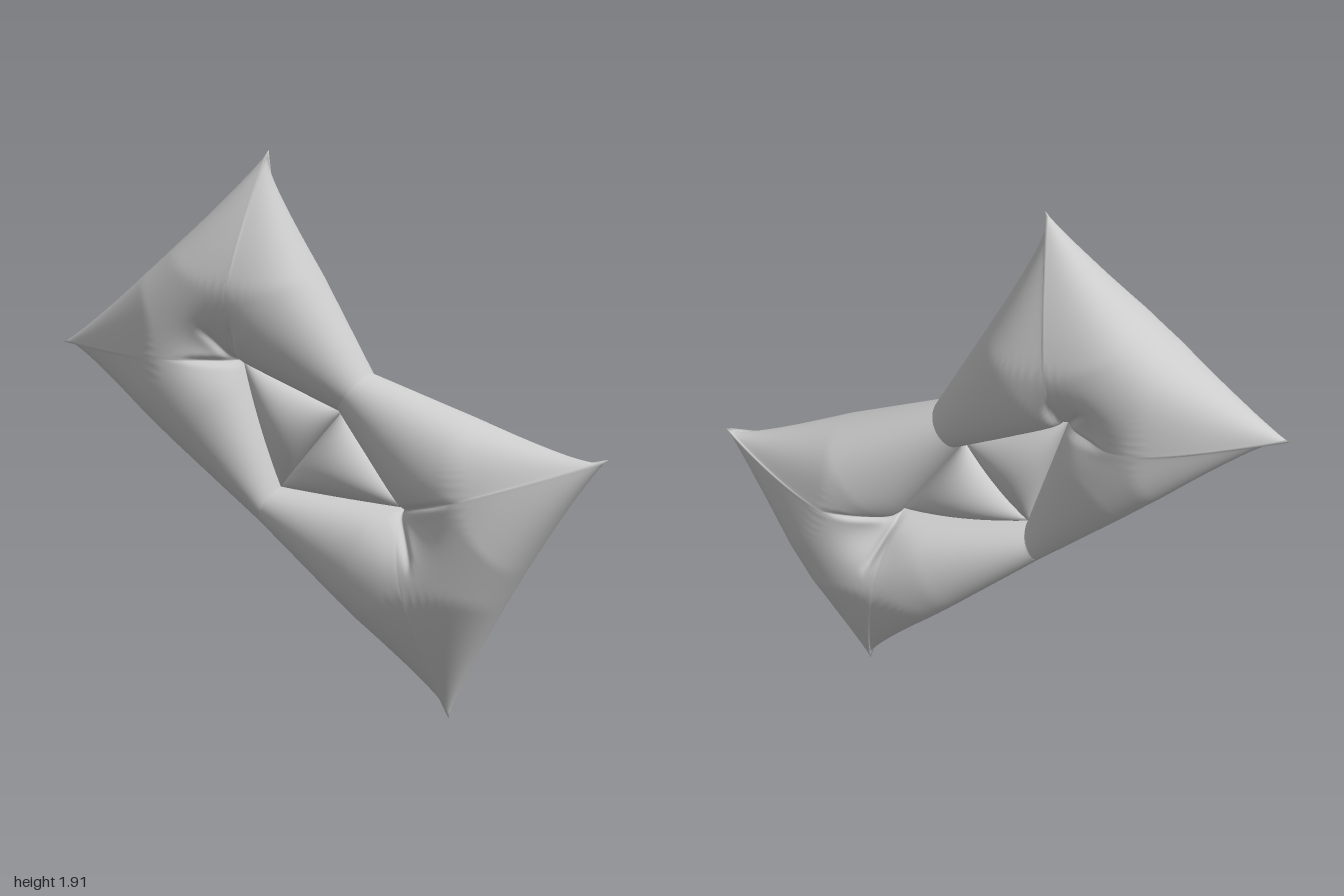
import * as THREE from 'three';
import { mergeVertices } from 'three/addons/utils/BufferGeometryUtils.js';

const V = (x, y) => new THREE.Vector2(x, y);

// Outline corners, with the waist at waistTop and waistBottom
const A = V(-1, 1.235), B = V(-0.18, 1.915), waistTop = V(0.19, 1.17);
const D = V(1, 0.93), E = V(0.48, 0), waistBottom = V(-0.2, 0.635);
// Corners of the inner seams
const innerLeft = V(-0.28, 1.2), innerTop = V(0.09, 1.04);
const innerRight = V(0.32, 0.72), innerBottom = V(-0.14, 0.76);

// Distance to a line a-b; limited to t >= 0 for a ray, and 0..1 for a segment
function distance(p, a, b, min = -Infinity, max = Infinity) {
  const ab = b.clone().sub(a);
  const t = THREE.MathUtils.clamp(p.clone().sub(a).dot(ab) / ab.lengthSq(), min, max);
  return Math.max(p.distanceTo(a.clone().addScaledVector(ab, t)), 1e-6);
}

// Point and local parameter on a polyline whose pieces take equal shares of u
function along(points, u) {
  const n = points.length - 1;
  const i = Math.min(Math.floor(u * n), n - 1);
  return { i, t: u * n - i, p: points[i].clone().lerp(points[i + 1], u * n - i) };
}

// Inflated two-sided skin between an outer and an inner path
function inflate(outer, inner, height, bow, nu, nv) {
  const pos = [], index = [];
  for (let iu = 0; iu <= nu; iu++) {
    const o = along(outer, iu / nu), q = along(inner, iu / nu).p;
    const edge = outer[o.i + 1].clone().sub(outer[o.i]).normalize();
    const inward = V(-edge.y, edge.x);
    for (let iv = 0; iv <= nv; iv++) {
      const w = (2 * iv) / nv - 1;
      const s = (1 - Math.cos(Math.PI * w)) / 2;
      const p = o.p.clone().lerp(q, s);
      const z = w === 0 ? 0 : Math.sign(w) * height(p);
      // the outer edges are drawn in by the inflation
      p.addScaledVector(inward, bow(o.i, o.t) * (1 - s));
      pos.push(p.x, p.y, z);
      if (iu < nu && iv < nv) {
        const a = iu * (nv + 1) + iv, b = a + nv + 1;
        index.push(a, b, b + 1, a, b + 1, a + 1);
      }
    }
  }
  let geo = new THREE.BufferGeometry();
  geo.setAttribute('position', new THREE.Float32BufferAttribute(pos, 3));
  geo.setIndex(index);
  geo = mergeVertices(geo, 1e-5);
  geo.computeVertexNormals();
  return geo;
}

// Edges pull in close to the tips and run nearly straight to the waist
function edgeBow(i, t) {
  if (i === 1) return 0.036 * Math.max(0, Math.sin(Math.PI * t)) ** 0.6;
  const fromTip = i === 0 ? 1 - t : t;
  return 0.036 * Math.sin(Math.PI * fromTip ** 0.45);
}

// Puffed frame around one triangle: start waist, two tips, end waist
function frameGeometry([c, b, a, f], [ic, tip, jf], wrinkles) {
  const middle = ic.clone().add(jf).divideScalar(2);
  const dent = tip.clone().add(tip.clone().sub(middle).setLength(0.07));
  const height = (p) => {
    const dIn = Math.min(distance(p, tip, ic, 0), distance(p, tip, jf, 0));
    const sum = 1 / distance(p, c, b) + 1 / distance(p, b, a) + 1 / distance(p, a, f) + 1 / dIn;
    let h = 0.74 * Math.sqrt(1 / sum);
    // pointed tips
    for (const corner of [a, b]) h *= Math.sqrt(Math.min(1, p.distanceTo(corner) / 0.46));
    // slimmer towards the waist
    const toWaist = Math.min(distance(p, c, ic, 0, 1), distance(p, f, jf, 0, 1));
    h *= 1 - 0.2 * Math.max(0, 1 - toWaist / 0.38);
    // soft dent and pinched folds at the inner corner
    h *= 1 - 0.22 * Math.exp(-((p.distanceTo(dent) / 0.09) ** 2));
    for (const end of wrinkles) {
      const fade = Math.max(0, 1 - p.distanceTo(tip) / tip.distanceTo(end));
      h *= 1 - 0.2 * Math.sqrt(fade) * Math.exp(-((distance(p, tip, end, 0, 1) / 0.014) ** 2));
    }
    return h;
  };
  return inflate([c, b, a, f], [ic, tip, tip, jf], height, edgeBow, 150, 56);
}

// Small triangular pillow filling a frame
function pillowGeometry(a, b, c) {
  const centre = a.clone().add(b).add(c).divideScalar(3);
  const ha = distance(a, b, c), hb = distance(b, c, a), hc = distance(c, a, b);
  const height = (p) => {
    const k = (distance(p, b, c) / ha) * (distance(p, c, a) / hb) * (distance(p, a, b) / hc);
    return 0.09 * Math.sqrt(27 * k);
  };
  return inflate([a, b, c, a], [centre, centre, centre, centre], height, () => 0, 60, 32);
}

export function createModel() {
  const group = new THREE.Group();
  group.name = 'inflatedBow';
  const material = new THREE.MeshStandardMaterial({ color: 0xcccccc, side: THREE.DoubleSide });
  const add = (name, geometry) => {
    const mesh = new THREE.Mesh(geometry, material);
    mesh.name = name;
    group.add(mesh);
  };

  add('upperFrame', frameGeometry(
    [waistTop, B, A, waistBottom], [innerTop, innerLeft, innerBottom],
    [V(-0.37, 1.33), V(-0.24, 1.34), V(-0.42, 1.21)]));
  add('lowerFrame', frameGeometry(
    [waistBottom, E, D, waistTop], [innerBottom, innerRight, innerTop],
    [V(0.52, 0.79), V(0.41, 0.56)]));
  add('upperPillow', pillowGeometry(innerTop, innerLeft, innerBottom));
  add('lowerPillow', pillowGeometry(innerBottom, innerRight, innerTop));
  return group;
}
